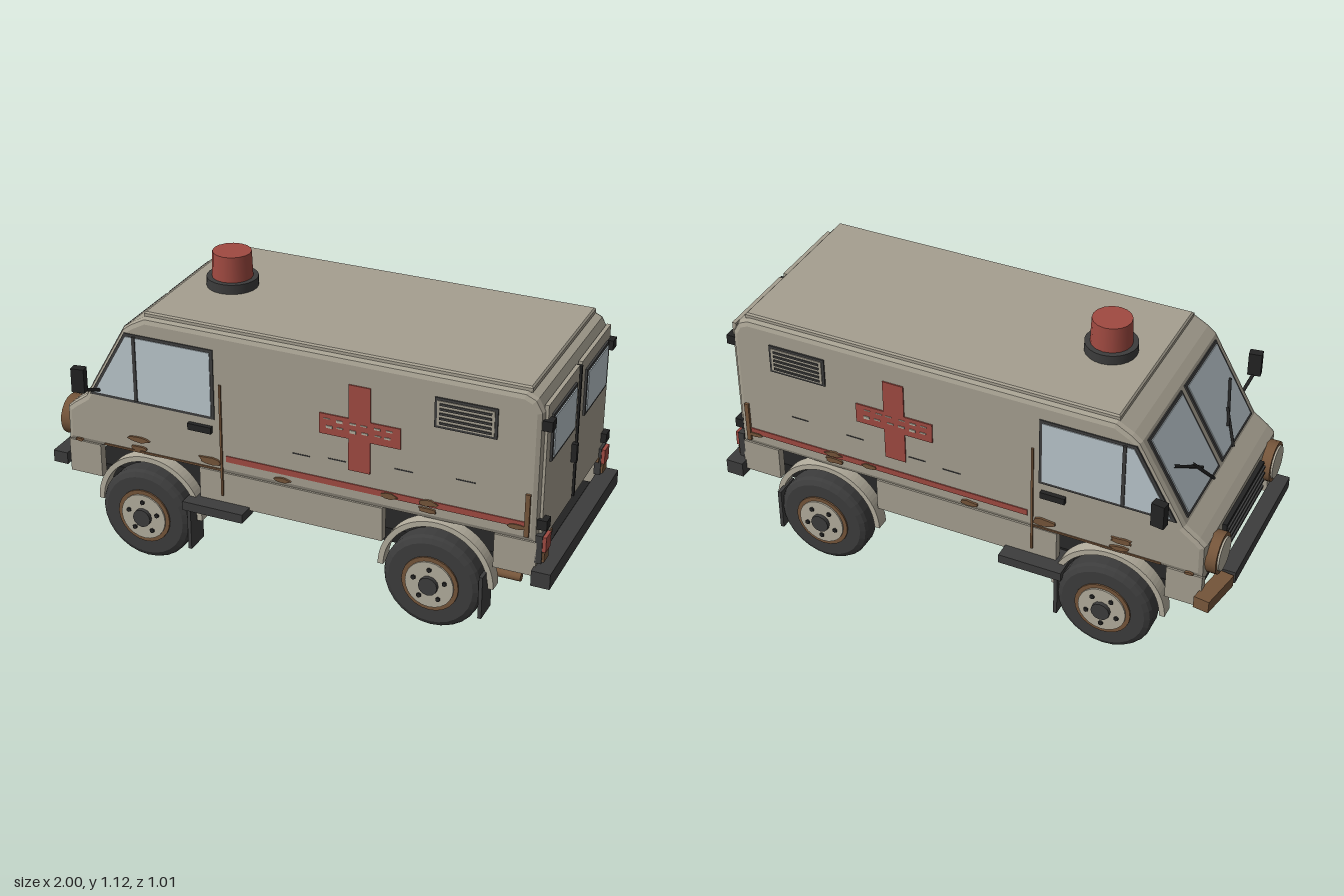
import * as THREE from 'three';

const mat = (name, color, side = THREE.FrontSide) => {
  const m = new THREE.MeshStandardMaterial({ color, side });
  m.name = name;
  return m;
};

export function createModel() {
  const paint = mat('body paint', 0xa59f90);
  const trim = mat('pale trim', 0xb3ad9d);
  const glass = mat('glass', 0xbac6cc);
  const dark = mat('dark rubber', 0x3c3c3c);
  const black = mat('black', 0x232323);
  const red = mat('red', 0xa04a41);
  const rust = mat('rust', 0x75553a);
  const van = new THREE.Group();
  van.name = 'van';

  const add = (name, geo, m, parent = van) => {
    const mesh = new THREE.Mesh(geo, m);
    mesh.name = name;
    parent.add(mesh);
    return mesh;
  };
  // Box given by its limits on each axis
  const box = (name, m, x0, x1, y0, y1, z0, z1, parent) => {
    const b = add(name, new THREE.BoxGeometry(x1 - x0, y1 - y0, Math.abs(z1 - z0)), m, parent);
    b.position.set((x0 + x1) / 2, (y0 + y1) / 2, (z0 + z1) / 2);
    return b;
  };
  const shapeOf = pts => new THREE.Shape(pts.map(p => new THREE.Vector2(...p)));
  const slab = (name, m, shape, z0, z1, parent) => {
    const g = new THREE.ExtrudeGeometry(shape, { depth: z1 - z0, bevelEnabled: false, curveSegments: 20 });
    const mesh = add(name, g, m, parent);
    mesh.position.z = z0;
    return mesh;
  };
  const rod = (name, m, a, b, r, parent) =>
    add(name, new THREE.TubeGeometry(new THREE.LineCurve3(new THREE.Vector3(...a), new THREE.Vector3(...b)), 1, r, 6), m, parent);
  // Cylinder lying along x
  const drumX = (name, m, r, x0, x1, y, z, parent) => {
    const d = add(name, new THREE.CylinderGeometry(r, r, x1 - x0, 20).rotateZ(Math.PI / 2), m, parent);
    d.position.set((x0 + x1) / 2, y, z);
    return d;
  };

  // Main shell with bevelled side edges
  const profile = [[-.93, .41], [-.928, .55], [-.9, .575], [-.845, .615], [-.672, .92], [-.64, .945], [-.58, .978],
    [.87, .978], [.91, .96], [.935, .915], [.935, .41]];
  const shell = new THREE.ExtrudeGeometry(shapeOf(profile),
    { depth: .706, bevelThickness: .022, bevelSize: .022, bevelOffset: -.022, bevelSegments: 2 });
  add('bodyShell', shell.translate(0, 0, -.353), paint);
  const roof = new THREE.ExtrudeGeometry(shapeOf([[-.58, -.345], [.88, -.345], [.88, .345], [-.58, .345]]),
    { depth: .014, bevelThickness: .006, bevelSize: .006, bevelSegments: 1 });
  add('roofPanel', roof.rotateX(-Math.PI / 2).translate(0, .975, 0), paint);
  box('chassis', black, -.88, .92, .245, .3, -.31, .31);

  // Beacon
  const beaconBase = add('beaconBase', new THREE.CylinderGeometry(.097, .097, .04, 24), dark);
  beaconBase.position.set(-.406, 1.012, 0);
  const beacon = add('beacon', new THREE.CylinderGeometry(.073, .077, .1, 16), red);
  beacon.position.set(-.406, 1.08, 0);

  // Windshield, built in the sloping plane (outside is local -x)
  const shield = new THREE.Group();
  shield.name = 'windshield';
  shield.position.set(-.7585, .7675, 0);
  shield.rotation.z = -Math.atan2(.173, .305);
  van.add(shield);
  for (const s of [1, -1]) {
    box('windshieldFrame', dark, -.006, .004, -.163, .163, s * .015, s * .33, shield);
    box('windshieldPane', glass, -.01, .004, -.152, .152, s * .027, s * .318, shield);
    rod('wiper', black, [-.018, -.16, s * .1], [-.018, -.04, s * .18], .006, shield);
    rod('wiperBlade', black, [-.016, -.09, s * .13], [-.016, .02, s * .285], .006, shield);
  }

  // Front end
  box('grille', black, -.945, -.92, .4, .53, -.2, .2);
  for (let i = 0; i < 4; i++) box('grilleSlat', dark, -.952, -.94, .415 + i * .03, .426 + i * .03, -.195, .195);
  for (const s of [1, -1]) {
    drumX('headlightRim', rust, .078, -.965, -.915, .475, s * .285);
    drumX('headlightLens', trim, .064, -.972, -.96, .475, s * .285);
  }
  box('frontBumper', dark, -1, -.94, .3, .348, -.225, .375);
  const bent = box('bentBumperEnd', rust, -.985, -.925, .305, .352, -.42, -.235);
  bent.rotation.set(.06, -.15, 0);

  // Rear end
  box('rearBumper', dark, .93, 1, .26, .32, -.405, .405);
  box('doorSeal', black, .93, .95, .41, .93, -.006, .006);
  for (const s of [1, -1]) {
    box('rearDoor', paint, .93, .945, .408, .938, s * .014, s * .352);
    box('rearWindowFrame', dark, .94, .953, .708, .89, s * .055, s * .312);
    box('rearWindow', glass, .945, .957, .721, .877, s * .067, s * .3);
    for (const y of [.485, .867]) box('hinge', black, .93, .966, y - .019, y + .019, s * .325, s * .367);
    box('tailLightHousing', dark, .93, .955, .335, .445, s * .312, s * .374);
    box('tailLight', red, .94, .968, .382, .441, s * .316, s * .37);
    box('tailLightLower', rust, .94, .963, .34, .376, s * .318, s * .368);
  }
  box('rearDoorHandle', black, .94, .965, .575, .648, .036, .056);
  box('rearRustStrip', rust, .93, .949, .392, .408, .24, .32);
  box('rearRustStrip', rust, .93, .949, .392, .408, -.345, -.3);
  drumX('exhaustPipe', rust, .016, .5, .855, .196, .27);

  // Jagged rust patch outline
  let seed = 7;
  const rnd = () => (seed = (seed * 16807) % 2147483647) / 2147483647;
  const patch = (x, y, w, h) => {
    const pts = [];
    for (let i = 0; i < 10; i++) {
      const a = i / 10 * Math.PI * 2, k = .65 + .45 * rnd();
      pts.push([x + Math.cos(a) * w / 2 * k, y + Math.sin(a) * h / 2 * k]);
    }
    return shapeOf(pts);
  };
  const patches = [[-.62, .478, .09, .025], [-.615, .442, .08, .022], [-.325, .457, .1, .035], [-.03, .443, .08, .022],
    [.385, .475, .07, .024], [.535, .482, .08, .028], [.535, .452, .08, .024], [.865, .465, .07, .022], [-.875, .424, .04, .014]];

  // Flank details; the group is turned over in z by a mirrored builder for the far side
  const flank = s => {
    const g = new THREE.Group();
    g.name = s > 0 ? 'nearFlank' : 'farFlank';
    van.add(g);
    const plate = (name, m, x0, x1, y0, y1, out = .382) => box(name, m, x0, x1, y0, y1, s * .373, s * out, g);
    const cut = (name, m, shape, out) => slab(name, m, shape, s > 0 ? .373 : -out, s > 0 ? out : -.373, g);
    // Cab window
    cut('cabWindowFrame', dark, shapeOf([[-.818, .63], [-.3, .63], [-.3, .908], [-.66, .908]]), .379);
    cut('cabWindow', glass, shapeOf([[-.797, .642], [-.312, .642], [-.312, .896], [-.653, .896]]), .382);
    plate('windowPillar', dark, -.626, -.613, .64, .9, .386);
    plate('doorHandle', black, -.405, -.31, .574, .6, .392);
    // Seams, stripe and cross
    plate('doorSeamRust', rust, -.279, -.271, .32, .775);
    plate('lowerSeamRust', rust, -.77, -.28, .423, .43, .379);
    plate('rearEdgeRust', rust, .89, .907, .435, .602, .385);
    plate('sideStripe', red, -.257, .892, .466, .49, .379);
    plate('crossUpright', red, .23, .313, .545, .882, .38);
    plate('crossArm', red, .118, .427, .67, .75, .38);
    for (let i = 0; i < 12; i++) {
      const x = .135 + (i % 6) * .046 + rnd() * .012, y = i < 6 ? .722 : .694;
      plate('paintChip', trim, x, x + .024, y + rnd() * .01, y + .012, .383);
    }
    [[.045, .562], [.185, .572], [.44, .588], [.67, .599]].forEach(([x, y]) =>
      plate('scratch', dark, x - .035, x + .035, y - .002, y + .002, .377));
    patches.forEach(p => cut('rustPatch', rust, patch(...p), .383));
    // Air vent
    plate('ventFrame', dark, .55, .778, .787, .902, .381);
    plate('ventPanel', paint, .56, .768, .797, .892, .384);
    for (let i = 0; i < 5; i++) plate('ventSlat', dark, .57, .758, .804 + i * .018, .812 + i * .018, .388);
    // Skirts and step
    [[-.925, -.79], [-.37, .36], [.78, .935]].forEach(([a, b]) => box('skirt', paint, a, b, .28, .415, s * .34, s * .374, g));
    box('step', dark, -.415, -.168, .256, .292, s * .3, s * .435, g);
    // Mirror
    const mirror = box('mirror', black, -.818, -.768, .695, .79, s * .47, s * .503, g);
    mirror.rotation.y = s * .15;
    rod('mirrorArm', black, [-.793, .7, s * .485], [-.775, .65, s * .37], .007, g);
  };
  flank(1);
  flank(-1);

  // Wheels: axis along y, outer face towards +y, then turned to face outwards
  const tyreProfile = [[0, .33], [.16, .33], [.178, .34], [.185, .352], [.185, .408], [.178, .42], [.16, .43], [.108, .43], [.1, .422], [0, .422]]
    .map(p => new THREE.Vector2(...p));
  const tyreGeo = new THREE.LatheGeometry(tyreProfile.map(p => p.clone()), 28).toNonIndexed();
  tyreGeo.computeVertexNormals();
  for (const s of [1, -1]) for (const x of [-.58, .57]) {
    const wheel = new THREE.Group();
    wheel.name = 'wheel';
    wheel.position.set(x, .19, 0);
    wheel.rotation.x = s * Math.PI / 2;
    van.add(wheel);
    const disc = (name, m, r, y0, y1, px = 0, pz = 0, n = 24) =>
      add(name, new THREE.CylinderGeometry(r, r, y1 - y0, n), m, wheel).position.set(px, (y0 + y1) / 2, pz);
    add('tyre', tyreGeo, dark, wheel);
    disc('rimRing', rust, .108, .41, .436);
    disc('rimDisc', trim, .092, .41, .442);
    disc('hubCap', dark, .036, .43, .457, 0, 0, 12);
    for (let i = 0; i < 5; i++) {
      const a = i / 5 * Math.PI * 2 - Math.PI / 2;
      disc('wheelBolt', black, .009, .43, .449, Math.cos(a) * .062, Math.sin(a) * .062, 6);
    }
    // Wheel arch and mud flap
    const arch = new THREE.Shape();
    arch.absarc(0, 0, .22, 0, Math.PI, false);
    arch.absarc(0, 0, .199, Math.PI, 0, true);
    slab('wheelArch', trim, arch, s > 0 ? .335 : -.387, s > 0 ? .387 : -.335).position.set(x, .194, s > 0 ? .335 : -.387);
    box('mudFlap', dark, x + .18, x + .194, .09, .26, s * .33, s * .428);
  }
  for (const x of [-.58, .57]) box('axle', black, x - .025, x + .025, .17, .25, -.31, .31);

  return van;
}
